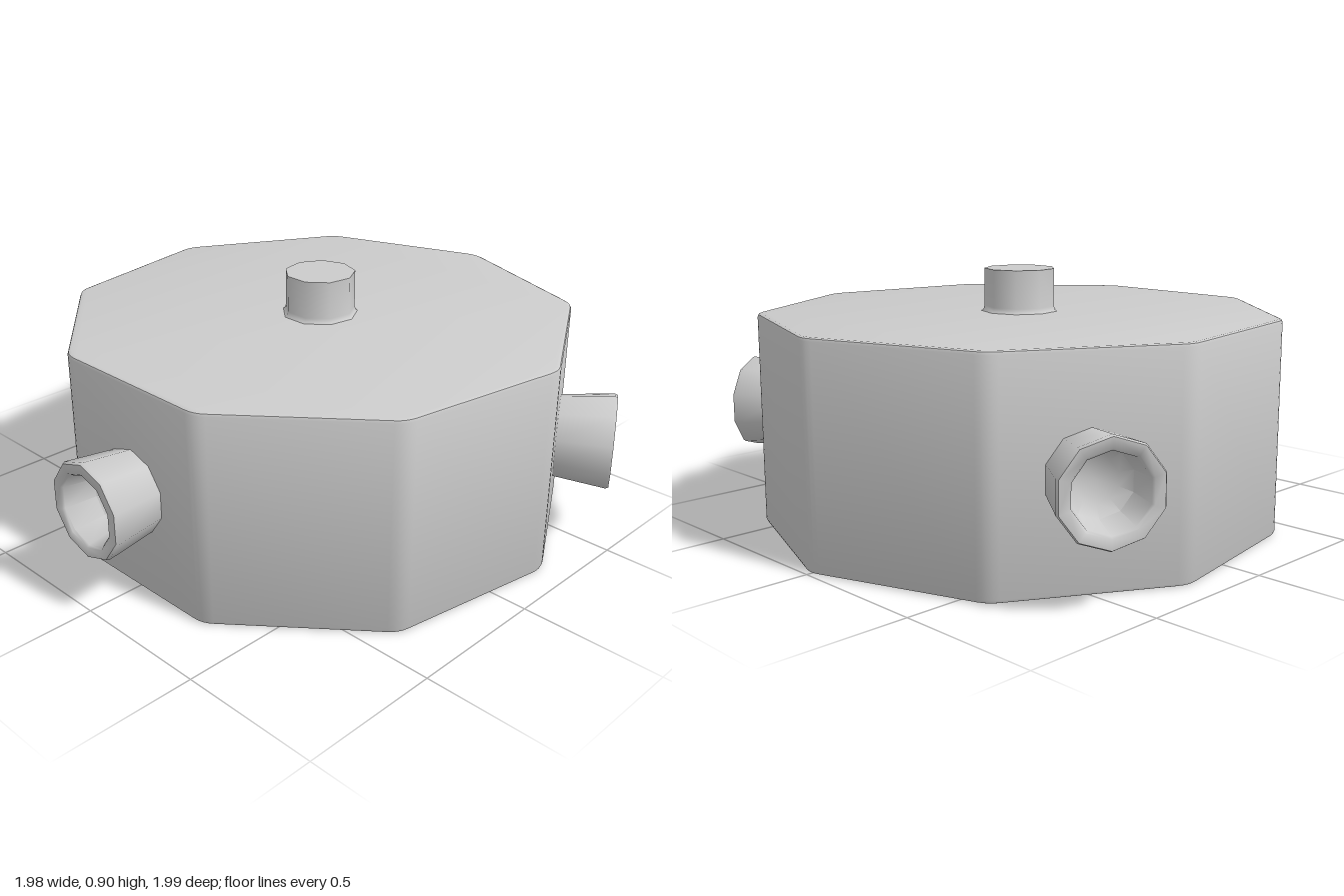
import * as THREE from 'three';
import { toCreasedNormals } from 'three/addons/utils/BufferGeometryUtils.js';

const CENTER_X = 0.07, RADIUS = 0.922, HEIGHT = 0.75, BEVEL = 0.012;
const material = new THREE.MeshStandardMaterial({ color: 0xcccccc });

function addMesh(parent, name, geometry) {
  const mesh = new THREE.Mesh(geometry, material);
  mesh.name = name;
  parent.add(mesh);
  return mesh;
}

// Regular polygon outline with a corner on +x and softly rounded corners
function roundedPolygon(sides, radius, cut) {
  const corner = i => {
    const a = (i * Math.PI * 2) / sides;
    return new THREE.Vector2(Math.cos(a) * radius, Math.sin(a) * radius);
  };
  const shape = new THREE.Shape();
  for (let i = 0; i < sides; i++) {
    const c = corner(i);
    const before = c.clone().lerp(corner(i - 1), cut);
    const after = c.clone().lerp(corner(i + 1), cut);
    if (i === 0) shape.moveTo(before.x, before.y);
    else shape.lineTo(before.x, before.y);
    shape.quadraticCurveTo(c.x, c.y, after.x, after.y);
  }
  shape.closePath();
  return shape;
}

// Faceted lathe with a corner on +x, smooth around and sharp at the rims
function turned(profile, sides) {
  const points = profile.map(([r, y]) => new THREE.Vector2(r, y));
  const geometry = new THREE.LatheGeometry(points, sides, Math.PI / 2);
  return toCreasedNormals(geometry, 0.9);
}

export function createModel() {
  const model = new THREE.Group();
  model.name = 'nozzleHub';
  const hub = new THREE.Group();
  hub.name = 'hub';
  hub.position.x = CENTER_X;
  model.add(hub);

  // Nine-sided body with a fine bevel
  const body = new THREE.ExtrudeGeometry(roundedPolygon(9, RADIUS, 0.06), {
    depth: HEIGHT - 2 * BEVEL, curveSegments: 4,
    bevelThickness: BEVEL, bevelSize: BEVEL, bevelOffset: -BEVEL, bevelSegments: 2,
  });
  body.rotateX(-Math.PI / 2).translate(0, BEVEL, 0);
  addMesh(hub, 'body', toCreasedNormals(body, 0.5));

  // Top knob with a small fillet at its foot
  addMesh(hub, 'knob', turned([
    [0.142, HEIGHT - 0.005], [0.129, HEIGHT + 0.005], [0.125, HEIGHT + 0.018],
    [0.125, 0.9], [0, 0.9],
  ], 9));

  // Three flared, hollow nozzles on every third side
  const nozzle = turned([
    [0.143, 0.8], [0.147, 0.86], [0.17, 1.05], [0.165, 1.06],
    [0.131, 1.06], [0.124, 1.052], [0.108, 0.94], [0.07, 0.91], [0, 0.9],
  ], 10);
  nozzle.rotateZ(-Math.PI / 2);
  for (const [name, turn] of [['frontNozzle', -1], ['backNozzle', 1], ['rightNozzle', 3]]) {
    const mesh = addMesh(hub, name, nozzle);
    mesh.position.y = 0.367;
    mesh.rotation.y = (turn * Math.PI) / 3;
  }
  return model;
}
